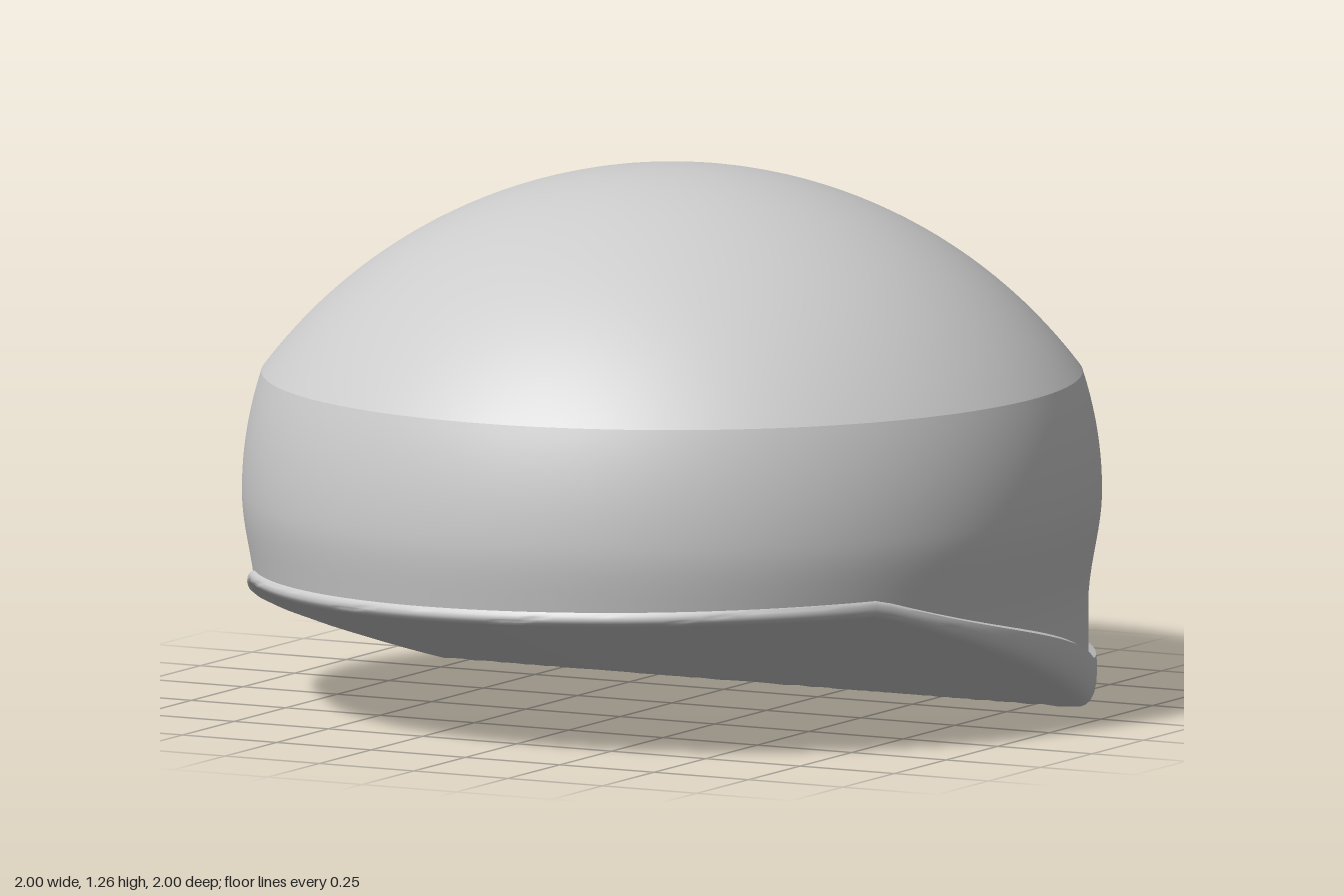
import * as THREE from 'three';
import { toCreasedNormals } from 'three/addons/utils/BufferGeometryUtils.js';

const { smoothstep, clamp, lerp } = THREE.MathUtils;
const SEG = 144;
const SHOULDER = { r: 0.955, y: 0.78 };
const material = new THREE.MeshStandardMaterial({ color: 0xcccccc });

// Height of the stepped sole: raised front, slope, low back
const soleY = (x, z) => (0.3 + 0.025 * x) * clamp((z + 0.38) / 0.88, 0, 1);

// Radius of the gently bulging side wall at height y
const wallR = (y) => y > 0.5
  ? 1 - 0.045 * ((y - 0.5) / 0.28) ** 2
  : 1 - 0.032 * smoothstep(0.5 - y, 0, 0.26);

// How far the bottom edge is rounded in: less on the left side
const soleR = (t) => 0.895 + 0.055 * smoothstep(Math.sin(t), 0.3, 0.95);

// The lip is tall at the back and thins out to the front
const lipH = (t) => lerp(0.045, 0.125, smoothstep(-Math.cos(t), -0.5, 0.35));

// Surface swept round the axis; point(t, j) returns [radius, y]
function sweep(name, rows, point, crease) {
  const pos = [], index = [];
  for (let j = 0; j < rows; j++) {
    for (let i = 0; i < SEG; i++) {
      const t = (i / SEG) * Math.PI * 2;
      const [r, y] = point(t, j);
      pos.push(r * Math.sin(t), y, r * Math.cos(t));
    }
  }
  for (let j = 0; j < rows - 1; j++) {
    for (let i = 0; i < SEG; i++) {
      const k = (i + 1) % SEG;
      const a = j * SEG + i, b = j * SEG + k, c = b + SEG, d = a + SEG;
      if (pos[a * 3] !== pos[b * 3] || pos[a * 3 + 2] !== pos[b * 3 + 2]) index.push(a, b, c);
      index.push(a, c, d);
    }
  }
  const geo = new THREE.BufferGeometry();
  geo.setAttribute('position', new THREE.Float32BufferAttribute(pos, 3));
  geo.setIndex(index);
  const mesh = new THREE.Mesh(toCreasedNormals(geo, crease), material);
  mesh.name = name;
  return mesh;
}

// Sole height beneath the rim at angle t
const rimY = (t) => soleY(soleR(t) * Math.sin(t), soleR(t) * Math.cos(t));

// Lip cross-section: blend from sole edge (0) to outer face (1), share of lip height
const LIP = [[0, 0], [0.35, 0.04], [0.65, 0.12], [0.86, 0.25], [0.97, 0.42],
  [1, 0.6], [0.99, 0.8], [0.94, 0.93], [0.8, 1]];

export function createModel() {
  const group = new THREE.Group();

  // Domed top
  const R = 1.19;
  const dome = new THREE.Mesh(
    new THREE.SphereGeometry(R, SEG, 28, 0, Math.PI * 2, 0, Math.asin(SHOULDER.r / R)), material);
  dome.position.y = 1.26 - R;
  dome.name = 'dome';
  group.add(dome);

  // Side wall, from the groove above the lip to the shoulder
  const wallRows = 24;
  group.add(sweep('sideWall', wallRows, (t, j) => {
    const low = rimY(t) + lipH(t);
    const y = lerp(low, SHOULDER.y, j / (wallRows - 1));
    return [wallR(y), y];
  }, 0.6));

  // Rounded lip round the lower edge
  group.add(sweep('lip', LIP.length, (t, j) => {
    const [out, up] = LIP[j];
    const y = rimY(t) + up * lipH(t);
    const inner = soleR(t);
    const outer = 0.988;
    const r = j === LIP.length - 1 ? wallR(y) : lerp(inner, outer, out);
    return [r, y];
  }, 0.8));

  // Stepped sole
  const soleRows = 40;
  group.add(sweep('sole', soleRows, (t, j) => {
    const r = soleR(t) * j / (soleRows - 1);
    return [r, soleY(r * Math.sin(t), r * Math.cos(t))];
  }, 0.2));

  return group;
}
